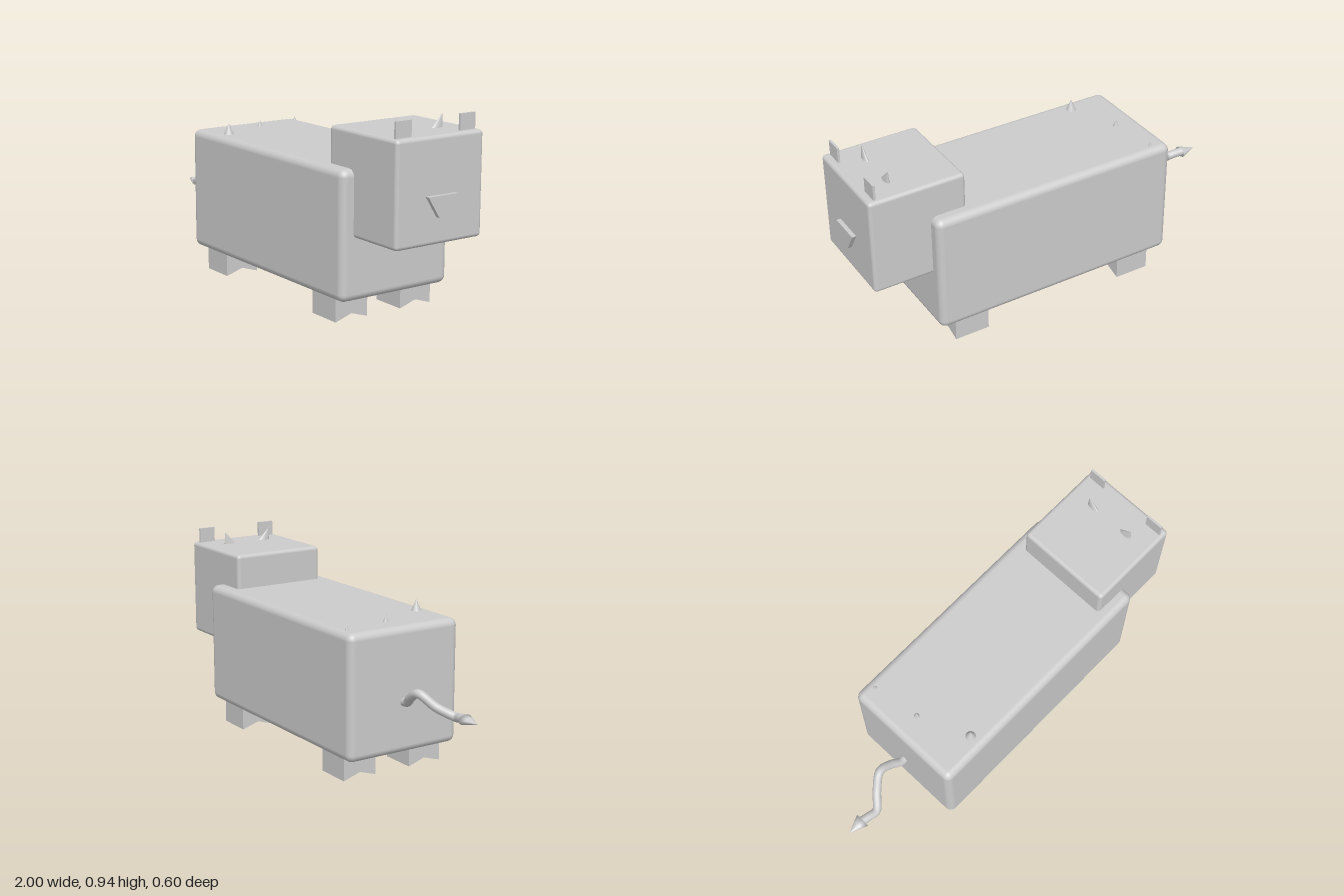
import * as THREE from 'three';
import { RoundedBoxGeometry } from 'three/addons/geometries/RoundedBoxGeometry.js';

const grey = new THREE.MeshStandardMaterial({ color: 0xcccccc });
const greyFlat = new THREE.MeshStandardMaterial({ color: 0xcccccc, flatShading: true });

export function createModel() {
  const model = new THREE.Group();
  model.name = 'blockyAnimal';

  const add = (name, geometry, x, y, z, material = grey) => {
    const mesh = new THREE.Mesh(geometry, material);
    mesh.name = name;
    mesh.position.set(x, y, z);
    model.add(mesh);
    return mesh;
  };

  // Outline in (z, y), extruded along +x
  const extrudeAlongX = (outline, depth) => {
    const shape = new THREE.Shape(outline.map(([a, b]) => new THREE.Vector2(a, b)));
    return new THREE.ExtrudeGeometry(shape, { depth, bevelEnabled: false }).rotateY(Math.PI / 2);
  };

  // Body and head: softly rounded blocks
  add('body', new RoundedBoxGeometry(1.255, 0.592, 0.6, 3, 0.035), 0.0625, 0.405, 0);
  add('head', new RoundedBoxGeometry(0.47, 0.472, 0.475, 3, 0.018), 0.745, 0.634, 0);

  // Nose: tapered plate on the face
  const noseOutline = [[-0.02, 0.52], [0.02, 0.52], [0.08, 0.615], [-0.08, 0.615]];
  add('nose', extrudeAlongX(noseOutline, 0.04), 0.96, 0, 0, greyFlat);

  // Legs with a chevron cut into the sole
  const legOutline = [[-0.0875, 0], [0, 0.028], [0.0875, 0], [0.0875, 0.14], [-0.0875, 0.14]];
  const legGeometry = extrudeAlongX(legOutline, 0.175);
  for (const side of [1, -1]) {
    const sideName = side > 0 ? 'Front' : 'Back';
    add(`legTailEnd${sideName}`, legGeometry, -0.475, 0, side * 0.182, greyFlat);
    add(`legHeadEnd${sideName}`, legGeometry, 0.43, 0, side * 0.182, greyFlat);

    // Thin upright ear plate
    add(`ear${sideName}`, new THREE.BoxGeometry(0.011, 0.1, 0.084), 0.94, 0.893, side * 0.175, greyFlat);

    // Flattened horn, sheared so that its tip leans outward
    const horn = new THREE.ConeGeometry(1, 0.07, 24, 4);
    horn.scale(0.014, 1, 0.037).translate(0, 0.035, 0);
    const p = horn.attributes.position;
    for (let i = 0; i < p.count; i++) p.setZ(i, p.getZ(i) + side * 0.5 * p.getY(i));
    horn.computeVertexNormals();
    add(`horn${sideName}`, horn, 0.83, 0.86, side * 0.095);
  }

  // Row of shrinking spikes across the rump
  [[-0.34, 0.225, 0.027, 0.755], [-0.44, -0.02, 0.015, 0.735], [-0.475, -0.255, 0.01, 0.725]]
    .forEach(([x, z, r, top], i) => {
      const h = top - 0.695;
      add(`spike${i + 1}`, new THREE.ConeGeometry(r, h, 24), x, 0.695 + h / 2, z);
    });

  // Wavy tail
  const path = new THREE.CatmullRomCurve3([
    [-0.54, 0.352, -0.005], [-0.59, 0.358, -0.005], [-0.635, 0.393, -0.02], [-0.7, 0.427, -0.025],
    [-0.77, 0.375, 0.02], [-0.835, 0.338, 0.078], [-0.88, 0.345, 0.073], [-0.925, 0.35, 0.065],
  ].map((v) => new THREE.Vector3(...v)));
  add('tail', new THREE.TubeGeometry(path, 64, 0.021, 16), 0, 0, 0);

  // Barbed tail tip with a hollowed base
  const tipProfile = [[0.012, 0.02], [0.037, 0], [0.025, 0.029], [0.0125, 0.057], [0, 0.086]]
    .map(([r, y]) => new THREE.Vector2(r, y));
  const tip = new THREE.LatheGeometry(tipProfile, 24);
  tip.rotateZ(Math.PI / 2).scale(1, 0.65, 1);
  add('tailTip', tip, -0.914, 0.349, 0.066);

  return model;
}
